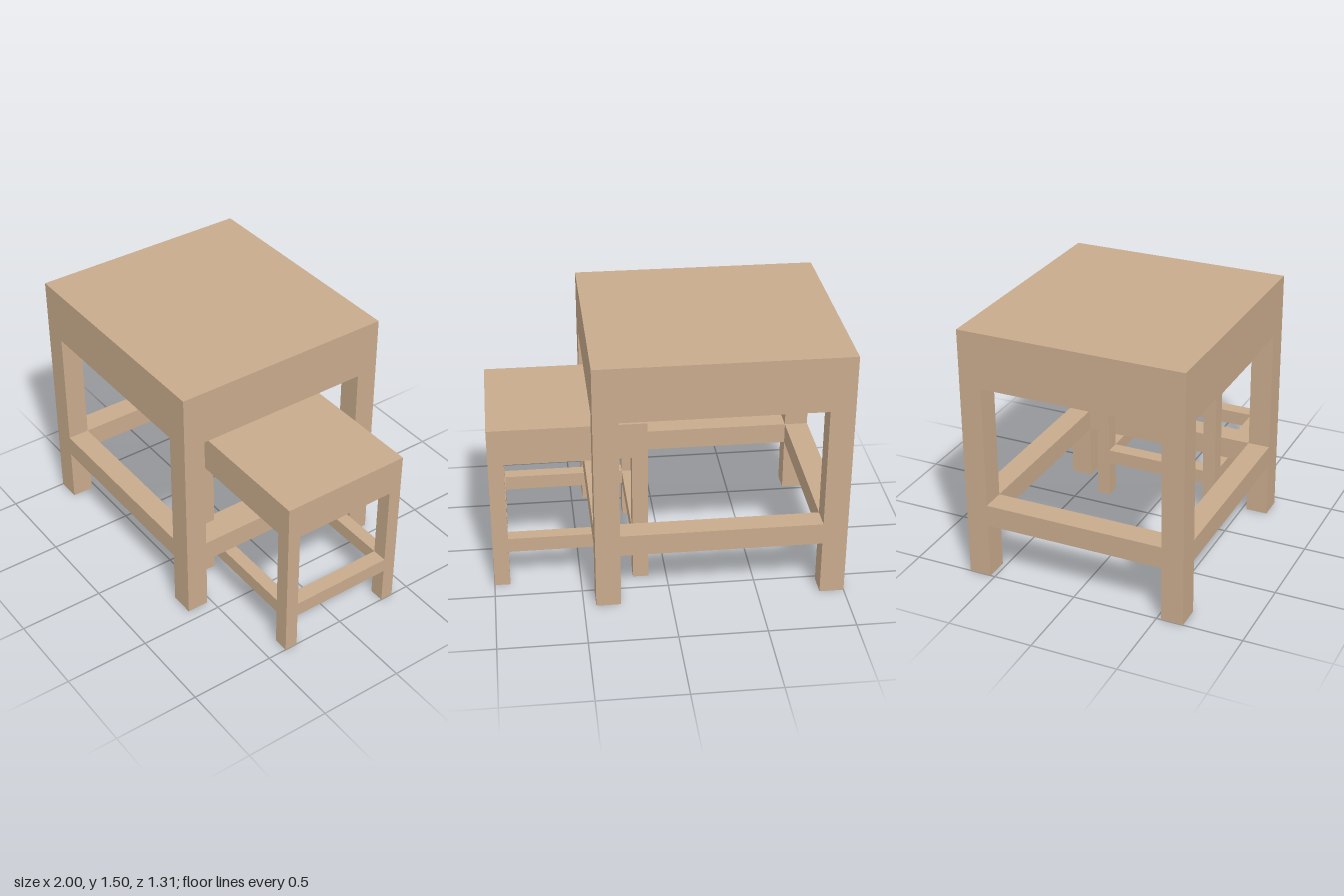
import * as THREE from 'three';

const wood = new THREE.MeshStandardMaterial({ color: 0xc8aa8c });
wood.name = 'light wood';

function addBox(parent, name, [w, h, d], [x, y, z]) {
  const mesh = new THREE.Mesh(new THREE.BoxGeometry(w, h, d), wood);
  mesh.name = name;
  mesh.position.set(x, y, z);
  parent.add(mesh);
}

// Square table: thick top, four legs and a ring of flush stretchers
function createTable(name, { width, depth, height, topBottom, legW, legD, railLow, railHigh }) {
  const table = new THREE.Group();
  table.name = name;
  const lx = (width - legW) / 2;
  const lz = (depth - legD) / 2;
  const railH = railHigh - railLow;
  const railY = (railLow + railHigh) / 2;

  addBox(table, 'top', [width, height - topBottom, depth], [0, (height + topBottom) / 2, 0]);

  for (const s of [-1, 1]) {
    for (const t of [-1, 1]) {
      addBox(table, 'leg', [legW, topBottom, legD], [s * lx, topBottom / 2, t * lz]);
    }
    // Stretchers run between the legs
    addBox(table, 'longStretcher', [width - 2 * legW, railH, legD], [0, railY, s * lz]);
    addBox(table, 'sideStretcher', [legW, railH, depth - 2 * legD], [s * lx, railY, 0]);
  }
  return table;
}

export function createModel() {
  const model = new THREE.Group();
  model.name = 'nestingTables';

  const large = createTable('largeTable', {
    width: 1.43, depth: 1.312, height: 1.495, topBottom: 1.172,
    legW: 0.141, legD: 0.129, railLow: 0.328, railHigh: 0.456,
  });
  large.position.x = -0.285;

  // Smaller table, partly tucked under the large one
  const small = createTable('smallTable', {
    width: 0.895, depth: 0.774, height: 1.015, topBottom: 0.799,
    legW: 0.09, legD: 0.077, railLow: 0.224, railHigh: 0.311,
  });
  small.position.x = 0.5525;

  model.add(large, small);
  return model;
}
